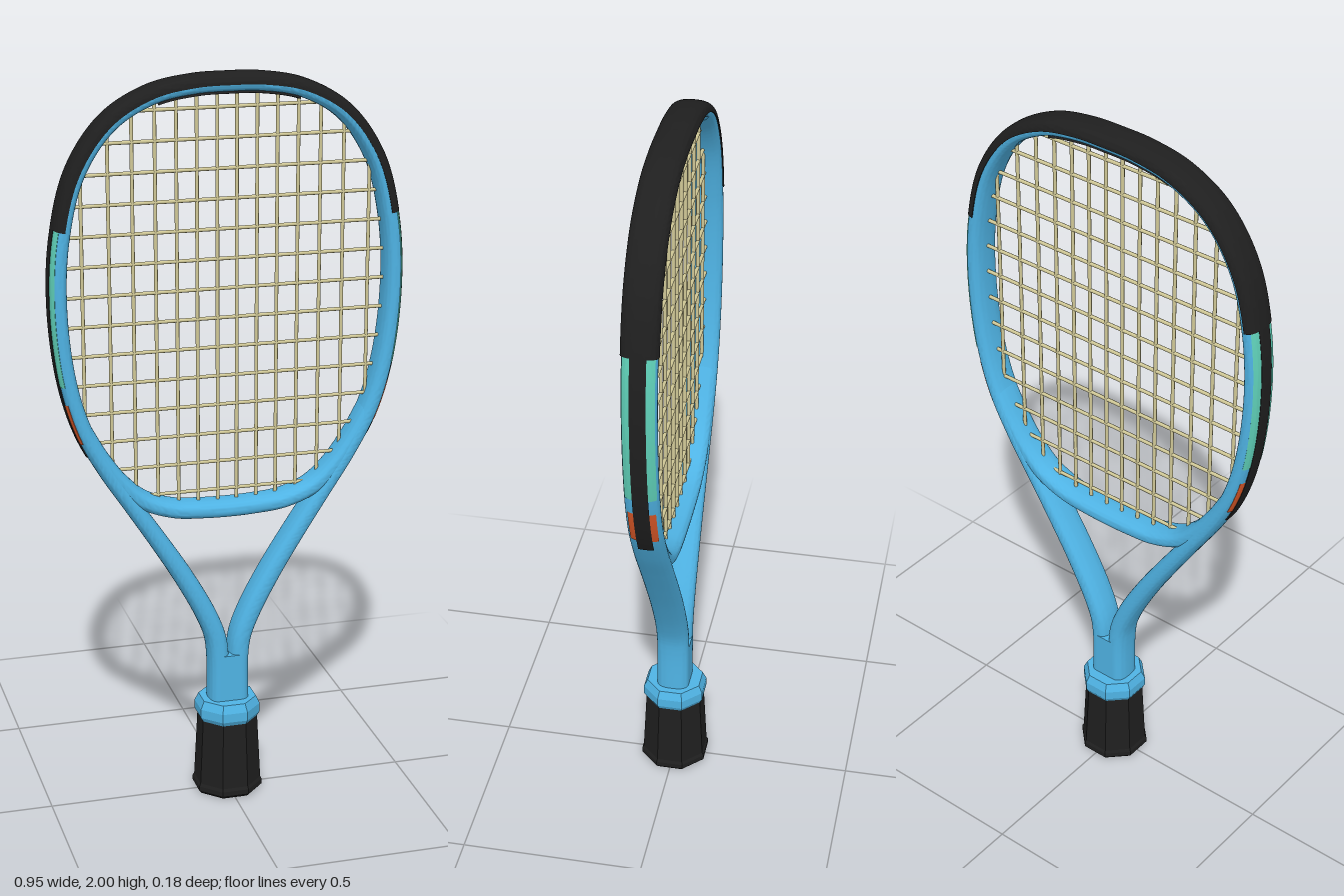
import * as THREE from 'three';
import { toCreasedNormals } from 'three/addons/utils/BufferGeometryUtils.js';

const paint = (name, color) => {
  const m = new THREE.MeshStandardMaterial({ color });
  m.name = name;
  return m;
};

const A = 0.023, B = 0.0445; // half width and half depth of the frame tube

// Point on the rounded frame section: [outward, z] at an angle, 0 = outward
function sectionPoint(deg, a, b, offset = 0) {
  const r = THREE.MathUtils.degToRad(deg), c = Math.cos(r), s = Math.sin(r);
  const soft = (v) => Math.sign(v) * Math.pow(Math.abs(v), 0.78);
  return [(a + offset) * soft(c), (b + offset) * soft(s)];
}

// Closed tube section
function ringSection(a, b, n = 32) {
  return Array.from({ length: n }, (_, i) => sectionPoint((i * 360) / n, a, b));
}

// Thin raised plate section between two angles, with its edges turned inward
function plateSection(from, to, raise, n = 16) {
  const pts = [sectionPoint(from, A, B, -0.002)];
  for (let i = 0; i <= n; i++) pts.push(sectionPoint(from + ((to - from) * i) / n, A, B, raise));
  pts.push(sectionPoint(to, A, B, -0.002));
  return pts;
}

// Sweep a section along planar stations { p, t }; the throat arms grow wider downwards
function sweep(stations, section, closed) {
  const pos = [], idx = [], n = section.length;
  for (const { p, t } of stations) {
    const w = 1.22 - 0.22 * THREE.MathUtils.smoothstep(p.y, 0.5, 0.95);
    for (const [o, z] of section) pos.push(p.x + t.y * o * w, p.y - t.x * o * w, z);
  }
  for (let i = 0; i < stations.length - 1; i++)
    for (let j = 0; j < (closed ? n : n - 1); j++) {
      const k = (j + 1) % n, a = i * n + j, b = a + n, c = i * n + k, d = c + n;
      idx.push(a, b, c, c, b, d);
    }
  const g = new THREE.BufferGeometry();
  g.setAttribute('position', new THREE.Float32BufferAttribute(pos, 3));
  g.setIndex(idx);
  return toCreasedNormals(g, 0.7);
}

// Symmetric planar curve from its +x half, sampled into stations
function stationsOf(half, count) {
  const mirrored = half.slice(0, -1).reverse().map(([x, y]) => [-x, y]);
  const pts = [...half, ...mirrored].map(([x, y]) => new THREE.Vector3(x, y, 0));
  const curve = new THREE.CatmullRomCurve3(pts, false, 'centripetal');
  curve.arcLengthDivisions = 1000;
  return Array.from({ length: count + 1 }, (_, i) => ({
    p: curve.getPointAt(i / count), t: curve.getTangentAt(i / count),
  }));
}

export function createModel() {
  const blue = paint('frame blue', 0x4fb3e4);
  const black = paint('grip black', 0x1f1f1f);
  const teal = paint('panel teal', 0x5fd0b8);
  const orange = paint('accent orange', 0xe05a28);
  const cord = paint('string tan', 0xd2ca98);

  const model = new THREE.Group();
  model.name = 'racket';
  const add = (name, geometry, material, parent = model) => {
    const mesh = new THREE.Mesh(geometry, material);
    mesh.name = name;
    parent.add(mesh);
    return mesh;
  };

  // Head and both throat arms in one continuous tube
  const frame = stationsOf([
    [0.028, 0.25], [0.028, 0.4], [0.036, 0.46], [0.063, 0.53], [0.12, 0.637], [0.19, 0.75],
    [0.26, 0.857], [0.33, 0.965], [0.39, 1.08], [0.43, 1.22], [0.45, 1.42], [0.439, 1.6],
    [0.395, 1.765], [0.31, 1.885], [0.2, 1.949], [0.09, 1.971], [0, 1.974],
  ], 600);
  add('frame', sweep(frame, ringSection(A, B), true), blue);

  // Bridge closing the bottom of the head
  const bridge = stationsOf([
    [0.39, 1.08], [0.345, 1.0], [0.29, 0.925], [0.23, 0.872], [0.15, 0.842], [0.07, 0.834], [0, 0.832],
  ], 100).reverse().map(({ p, t }) => ({ p, t: t.clone().negate() }));
  add('bridge', sweep(bridge, ringSection(A, B - 0.002), true), blue);

  // Bumper guard on the outer half of the top and grommet strip under it
  add('bumperGuard', sweep(frame.filter(({ p }) => p.y > 1.615), plateSection(-92, 92, 0.003, 28), false), black);
  add('grommetStrip', sweep(frame.filter(({ p }) => p.y > 1.8 && Math.abs(p.x) < 0.2),
    plateSection(150, 210, 0.006), false), black);

  // Side strip and coloured panels, on both flanks and both faces
  for (const side of [1, -1]) {
    const label = side > 0 ? 'left' : 'right';
    const span = (lo, hi) => frame.filter(({ p }) => p.x * side > 0 && p.y > lo && p.y < hi);
    add(label + 'SideStrip', sweep(span(1.02, 1.625), plateSection(-20, 20, 0.003), false), black);
    for (const face of [1, -1]) {
      const panel = (inner, outer) =>
        face > 0 ? plateSection(inner, outer, 0.0015) : plateSection(-outer, -inner, 0.0015);
      add(label + 'TealPanel', sweep(span(1.21, 1.62), panel(20, 60), false), teal);
      add(label + 'OrangePanel', sweep(span(1.055, 1.172), panel(20, 48), false), orange);
    }
  }

  // Stem filling the gap between the arms
  const stem = add('stem', new THREE.BoxGeometry(0.056, 0.16, 2 * B), blue);
  stem.position.y = 0.33;

  // Octagonal collar and grip, given as [apothem, y]
  const octagon = (profile) => toCreasedNormals(new THREE.LatheGeometry(
    profile.map(([r, y]) => new THREE.Vector2(r / Math.cos(Math.PI / 8), y)), 8, Math.PI / 8), 0.3);
  add('collar', octagon([[0, 0.217], [0.077, 0.217], [0.084, 0.23], [0.084, 0.255], [0.074, 0.277], [0, 0.277]]), blue);
  add('grip', octagon([[0, 0], [0.083, 0], [0.09, 0.008], [0.09, 0.022], [0.086, 0.03],
    [0.077, 0.221], [0, 0.221]]), black);

  // Straight strings, each ending inside the frame
  const loop = [...frame.filter(({ p }) => p.y > 1.08), ...bridge].map(({ p }) => p);
  const reach = (axis, other, v) => {
    const hits = [];
    loop.forEach((a, i) => {
      const b = loop[(i + 1) % loop.length];
      if ((a[axis] - v) * (b[axis] - v) <= 0 && a[axis] !== b[axis])
        hits.push(a[other] + ((v - a[axis]) / (b[axis] - a[axis])) * (b[other] - a[other]));
    });
    return [Math.min(...hits), Math.max(...hits)];
  };
  const strings = new THREE.Group();
  strings.name = 'strings';
  model.add(strings);
  const addString = (name, axis, other, v) => {
    const [lo, hi] = reach(axis, other, v);
    const mesh = add(name, new THREE.CylinderGeometry(0.005, 0.005, hi - lo, 8, 1, true), cord, strings);
    mesh.position[axis] = v;
    mesh.position[other] = (lo + hi) / 2;
    if (other === 'x') mesh.rotation.z = Math.PI / 2;
  };
  for (const x of [0.026, 0.08, 0.134, 0.19, 0.25, 0.313, 0.384])
    for (const side of [1, -1]) addString('mainString', 'x', 'y', x * side);
  for (let i = 0; i < 14; i++) addString('crossString', 'y', 'x', 0.884 + i * 0.079);

  return model;
}
